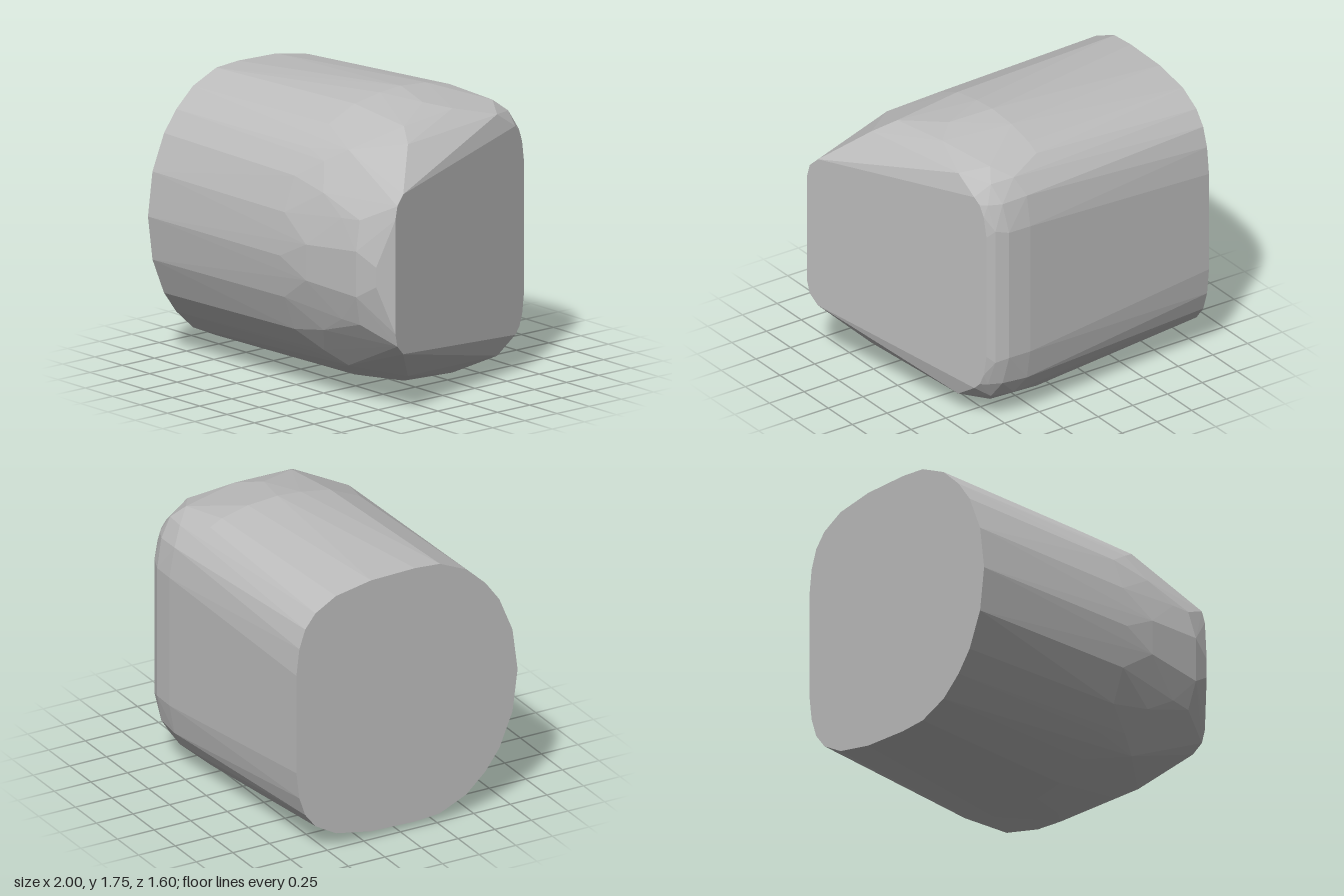
import * as THREE from 'three';
import { ConvexGeometry } from 'three/addons/geometries/ConvexGeometry.js';

const MID = 0.877; // height of the horizontal mirror plane

export function createModel() {
  const group = new THREE.Group();
  group.name = 'roundedBlock';
  const grey = new THREE.MeshStandardMaterial({ color: 0xbcbcbc, flatShading: true });
  grey.name = 'grey';

  const points = [];
  // Each point is mirrored above and below the middle
  const add = (x, dy, z) => {
    points.push(new THREE.Vector3(x, MID + dy, z));
    if (dy) points.push(new THREE.Vector3(x, MID - dy, z));
  };

  // Flat D-shaped end: [half height, z]
  [[0, 0.8], [0.27, 0.765], [0.49, 0.675], [0.62, 0.58], [0.74, 0.45], [0.82, 0.27],
    [0.833, 0.1], [0.825, -0.2], [0.78, -0.44], [0.7, -0.58], [0.61, -0.65],
    [0.49, -0.69], [0.32, -0.71]].forEach(([dy, z]) => add(-1, dy, z));

  // Widest section of the body
  [[0, 0.78], [0.26, 0.745], [0.47, 0.665], [0.62, 0.55], [0.74, 0.4], [0.83, 0.2],
    [0.864, 0], [0.877, -0.16], [0.862, -0.36], [0.82, -0.54],
    [0.78, -0.62]].forEach(([dy, z]) => add(0.18, dy, z));

  // Slanted flat end
  [[0.35, 0.58], [0.43, 0.56], [0.49, 0.5], [0.64, -0.65], [0.6, -0.69],
    [0.53, -0.72], [0.4, -0.74]].forEach(([dy, z]) => add(1 - 0.285 * (0.58 - z), dy, z));

  // Rounded shoulders between body and slanted end: [x, half height, z]
  [[0.4, 0.11, 0.765], [0.8, 0.14, 0.715], [0.93, 0.06, 0.67], [0.64, 0.31, 0.69],
    [0.78, 0.32, 0.67], [0.45, 0.42, 0.67], [0.35, 0.58, 0.58], [0.48, 0.66, 0.5],
    [0.72, 0.58, 0.48], [0.75, 0.71, 0.27], [0.62, 0.78, 0.19], [0.45, 0.842, -0.1],
    [0.58, 0.81, -0.22], [0.66, 0.74, -0.5]].forEach((p) => add(...p));

  // Rounded back corner
  [[0.35, 0.42, -0.8], [0.5, 0.42, -0.797], [0.58, 0.44, -0.77], [0.35, 0.61, -0.765],
    [0.52, 0.6, -0.757], [0.6, 0.6, -0.72], [0.4, 0.72, -0.7], [0.55, 0.71, -0.68],
    [0.5, 0.78, -0.6]].forEach((p) => add(...p));

  const body = new THREE.Mesh(new ConvexGeometry(points), grey);
  body.name = 'body';
  group.add(body);
  return group;
}
